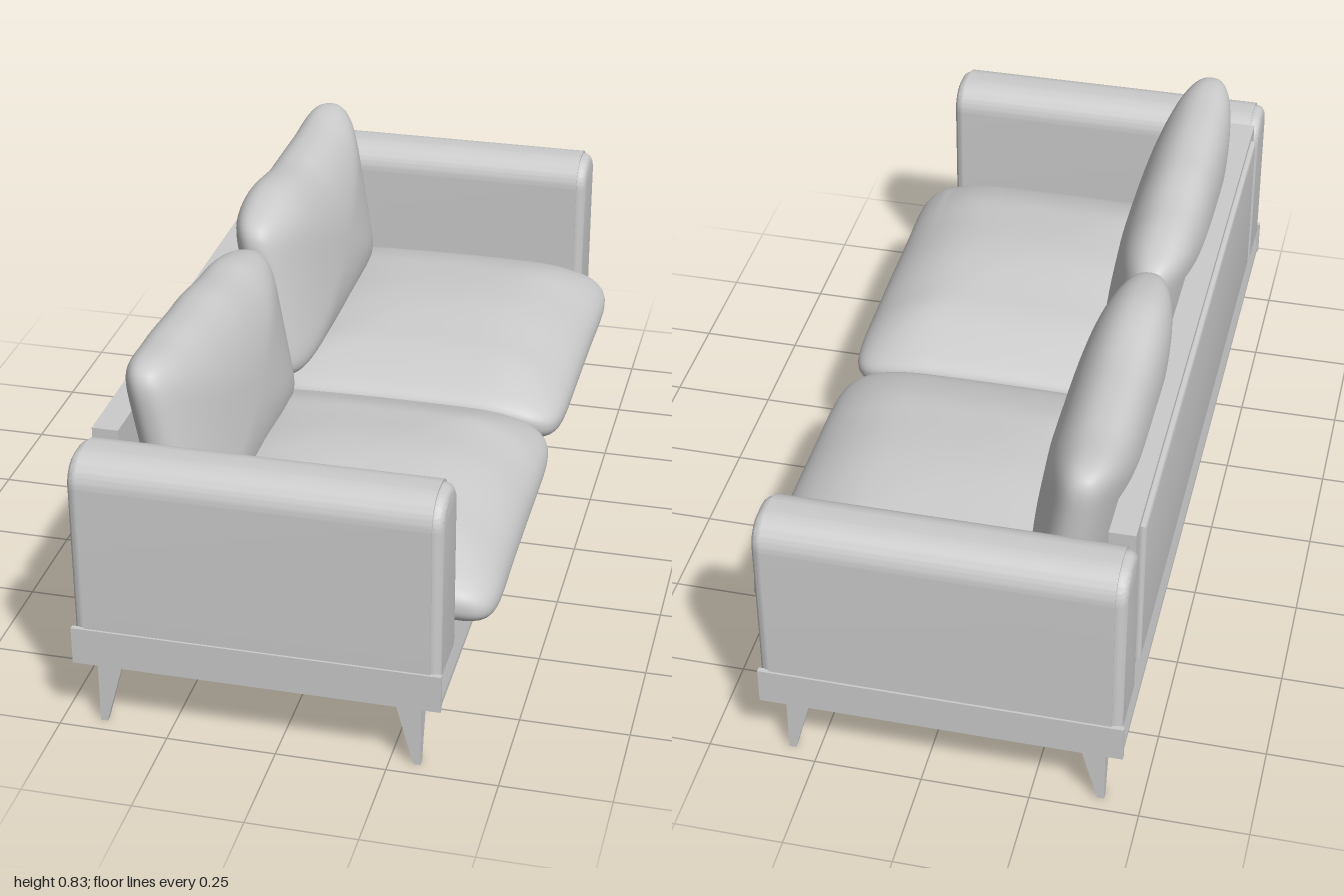
import * as THREE from 'three';
import { mergeVertices, toCreasedNormals } from 'three/addons/utils/BufferGeometryUtils.js';

const material = new THREE.MeshStandardMaterial({ color: 0xcccccc });

function add(parent, name, geometry, x = 0, y = 0, z = 0) {
  const mesh = new THREE.Mesh(geometry, material);
  mesh.name = name;
  mesh.position.set(x, y, z);
  parent.add(mesh);
  return mesh;
}

// Smoothly blend evenly spaced values, t in 0..1
function blend(values, t) {
  const f = Math.min(Math.max(t, 0), 1) * (values.length - 1);
  const i = Math.min(Math.floor(f), values.length - 2);
  return THREE.MathUtils.lerp(values[i], values[i + 1], THREE.MathUtils.smoothstep(f - i, 0, 1));
}

// Soft pillow: a subdivided cube rounded to -1..1, thin along one axis, then placed by a rule
function pillow(thin, power, place) {
  const geo = new THREE.BoxGeometry(2, 2, 2, 28, 28, 28);
  geo.deleteAttribute('uv');
  geo.deleteAttribute('normal');
  const merged = mergeVertices(geo, 1e-4);
  const pos = merged.attributes.position;
  const p = new THREE.Vector3();
  for (let i = 0; i < pos.count; i++) {
    p.fromBufferAttribute(pos, i);
    const a = Math.abs(p.getComponent((thin + 1) % 3));
    const b = Math.abs(p.getComponent((thin + 2) % 3));
    const t = Math.abs(p.getComponent(thin));
    const plan = Math.pow(a ** 9 + b ** 9, 1 / 9);
    p.divideScalar(Math.pow(plan ** power + t ** power, 1 / power));
    place(p);
    pos.setXYZ(i, p.x, p.y, p.z);
  }
  merged.computeVertexNormals();
  return merged;
}

// Upright section with a rounded top, extruded along x
function armSection(width, bottom, top, radius, x0, x1, bevel) {
  const w = width / 2 - bevel, t = top - bevel, b = bottom + bevel, r = radius - bevel;
  const s = new THREE.Shape();
  s.moveTo(-w, b);
  s.lineTo(w, b);
  s.lineTo(w, t - r);
  s.absarc(w - r, t - r, r, 0, Math.PI / 2);
  s.lineTo(-w + r, t);
  s.absarc(-w + r, t - r, r, Math.PI / 2, Math.PI);
  s.closePath();
  const geo = new THREE.ExtrudeGeometry(s, {
    depth: x1 - x0 - 2 * bevel, curveSegments: 10,
    bevelEnabled: bevel > 0, bevelSize: bevel, bevelThickness: bevel, bevelSegments: 5,
  });
  geo.rotateY(Math.PI / 2).translate(x0 + bevel, 0, 0);
  return toCreasedNormals(geo, 0.6);
}

// One tapering fin of a leg, with a bracket flaring out under the base
function legFin(foot, knee, flare, lean, thickness) {
  const s = new THREE.Shape();
  s.moveTo(lean, 0);
  s.lineTo(lean + foot, 0);
  s.lineTo(knee, 0.152);
  s.lineTo(flare, 0.168);
  s.lineTo(flare, 0.174);
  s.lineTo(0, 0.174);
  s.closePath();
  return new THREE.ExtrudeGeometry(s, { depth: thickness, bevelEnabled: false });
}

export function createModel() {
  const sofa = new THREE.Group();
  sofa.name = 'sofa';

  // Base: long tray with slightly sloping rails between two end boards
  const rail = new THREE.Shape();
  rail.moveTo(-0.457, 0.172);
  rail.lineTo(0.367, 0.172);
  rail.lineTo(0.367, 0.185);
  rail.lineTo(0.352, 0.26);
  rail.lineTo(-0.442, 0.26);
  rail.lineTo(-0.457, 0.185);
  rail.closePath();
  const baseGeo = new THREE.ExtrudeGeometry(rail, { depth: 1.98, bevelEnabled: false });
  add(sofa, 'base', baseGeo, 0, 0, -0.99);
  for (const side of [1, -1]) {
    const label = side > 0 ? 'left' : 'right';
    add(sofa, label + 'EndBoard', new THREE.BoxGeometry(0.83, 0.09, 0.012), -0.045, 0.215, side * 0.994);

    // Arms: wrapped body with softly rounded, slightly smaller ends
    const arm = new THREE.Group();
    arm.name = label + 'Arm';
    arm.position.z = side * 0.912;
    sofa.add(arm);
    add(arm, 'armBody', armSection(0.166, 0.25, 0.679, 0.07, -0.432, 0.345, 0));
    add(arm, 'armEnds', armSection(0.158, 0.235, 0.673, 0.066, -0.456, 0.368, 0.022));
  }

  // Backrest: frame with a raised, bevelled rear panel
  add(sofa, 'backFrame', new THREE.BoxGeometry(0.06, 0.42, 1.67), -0.415, 0.465, 0);
  const panel = new THREE.Shape();
  panel.moveTo(-0.77, 0.285);
  panel.lineTo(0.77, 0.285);
  panel.lineTo(0.77, 0.645);
  panel.lineTo(-0.77, 0.645);
  panel.closePath();
  const panelGeo = new THREE.ExtrudeGeometry(panel, {
    depth: 0.01, bevelSize: 0.015, bevelThickness: 0.012, bevelSegments: 4,
  });
  panelGeo.rotateY(-Math.PI / 2);
  add(sofa, 'backPanel', toCreasedNormals(panelGeo, 0.6), -0.436, 0, 0);

  // Seat and back cushions: uneven tops run from the middle seam outwards
  const cushions = [
    { side: 1, label: 'left', seat: [0.425, 0.462, 0.478, 0.468, 0.445], low: 0.25, back: [0.765, 0.79, 0.81, 0.822, 0.838] },
    { side: -1, label: 'right', seat: [0.43, 0.448, 0.458, 0.45, 0.435], low: 0.24, back: [0.80, 0.822, 0.80, 0.80, 0.822] },
  ];
  for (const { side, label, seat, low, back } of cushions) {
    add(sofa, label + 'SeatCushion', pillow(1, 2.6, (p) => {
      const out = (side * p.z + 1) / 2;
      const front = Math.max(0, (p.x - 0.45) / 0.55);
      const top = blend(seat, out) - 0.015 * p.x * p.x;
      const mid = 0.345;
      const y = mid + (p.y > 0 ? p.y * (top - mid) : p.y * (mid - low)) - 0.03 * front * front;
      // The front edge bulges lower down and at the outer corner
      const x = 0.06 + p.x * 0.385 + (p.x > 0.8 ? 0.012 * out ** 6 : 0) - 0.012 * Math.max(p.y, 0) * front;
      p.set(x, y, side * (0.002 + out * 0.848));
    }));

    add(sofa, label + 'BackCushion', pillow(0, 2.4, (p) => {
      const out = (side * p.z + 1) / 2;
      const top = blend(back, out);
      const y = 0.37 + (p.y + 1) / 2 * (top - 0.37);
      const plump = 0.1 + 0.008 * Math.cos(p.z * 1.5);
      const x = -0.292 - (y - 0.6) * 0.17 + p.x * plump;
      const tuck = 0.02 * (1 - p.y) / 2 * out;
      p.set(x, y, side * (0.002 + out * 0.843 - tuck));
    }));
  }

  // Legs: two fins meeting at each outer corner
  for (const ex of [1, -1]) {
    for (const ez of [1, -1]) {
      const leg = new THREE.Group();
      leg.name = (ex > 0 ? 'front' : 'rear') + (ez > 0 ? 'Left' : 'Right') + 'Leg';
      leg.position.set(ex > 0 ? 0.32 : -0.415, 0, ez * 0.966);
      sofa.add(leg);
      const alongX = add(leg, 'sideFin', legFin(0.016, 0.057, 0.135, 0, 0.014));
      alongX.rotation.y = ex > 0 ? Math.PI : 0;
      alongX.position.z = ez > 0 ? (ex > 0 ? 0 : -0.014) : (ex > 0 ? 0.014 : 0);
      const alongZ = add(leg, 'endFin', legFin(0.016, 0.057, 0.135, 0, 0.014));
      alongZ.rotation.y = ez > 0 ? Math.PI / 2 : -Math.PI / 2;
      alongZ.position.x = ez > 0 ? (ex > 0 ? -0.014 : 0) : (ex > 0 ? 0 : 0.014);
    }
  }
  return sofa;
}
